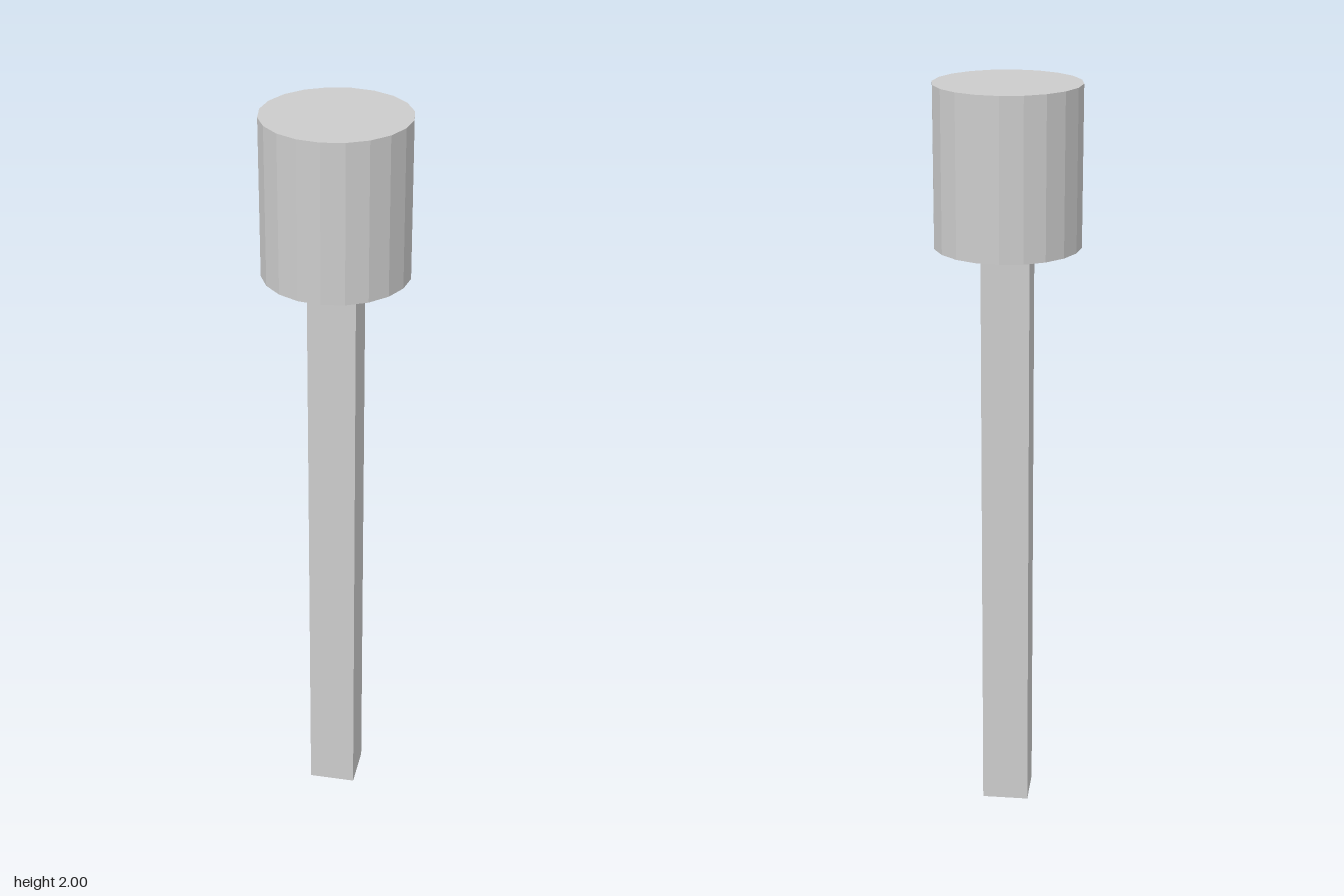
import * as THREE from 'three';

export function createModel() {
  const model = new THREE.Group();
  const grey = new THREE.MeshStandardMaterial({ name: 'light grey', color: 0xcccccc, flatShading: true, side: THREE.DoubleSide });

  const headBottom = 1.585, headTop = 2, headRadius = 0.19, postWidth = 0.125;

  // Twenty-sided drum on top
  const head = new THREE.Mesh(
    new THREE.CylinderGeometry(headRadius, headRadius, headTop - headBottom, 20), grey);
  head.name = 'head';
  head.position.y = (headTop + headBottom) / 2;
  model.add(head);

  // Hollow square post, open at the bottom
  const postRadius = postWidth / Math.SQRT2;
  const postGeometry = new THREE.CylinderGeometry(postRadius, postRadius, headBottom, 4, 1, true);
  postGeometry.rotateY(Math.PI / 4);
  const post = new THREE.Mesh(postGeometry, grey);
  post.name = 'post';
  post.position.y = headBottom / 2;
  model.add(post);

  return model;
}
